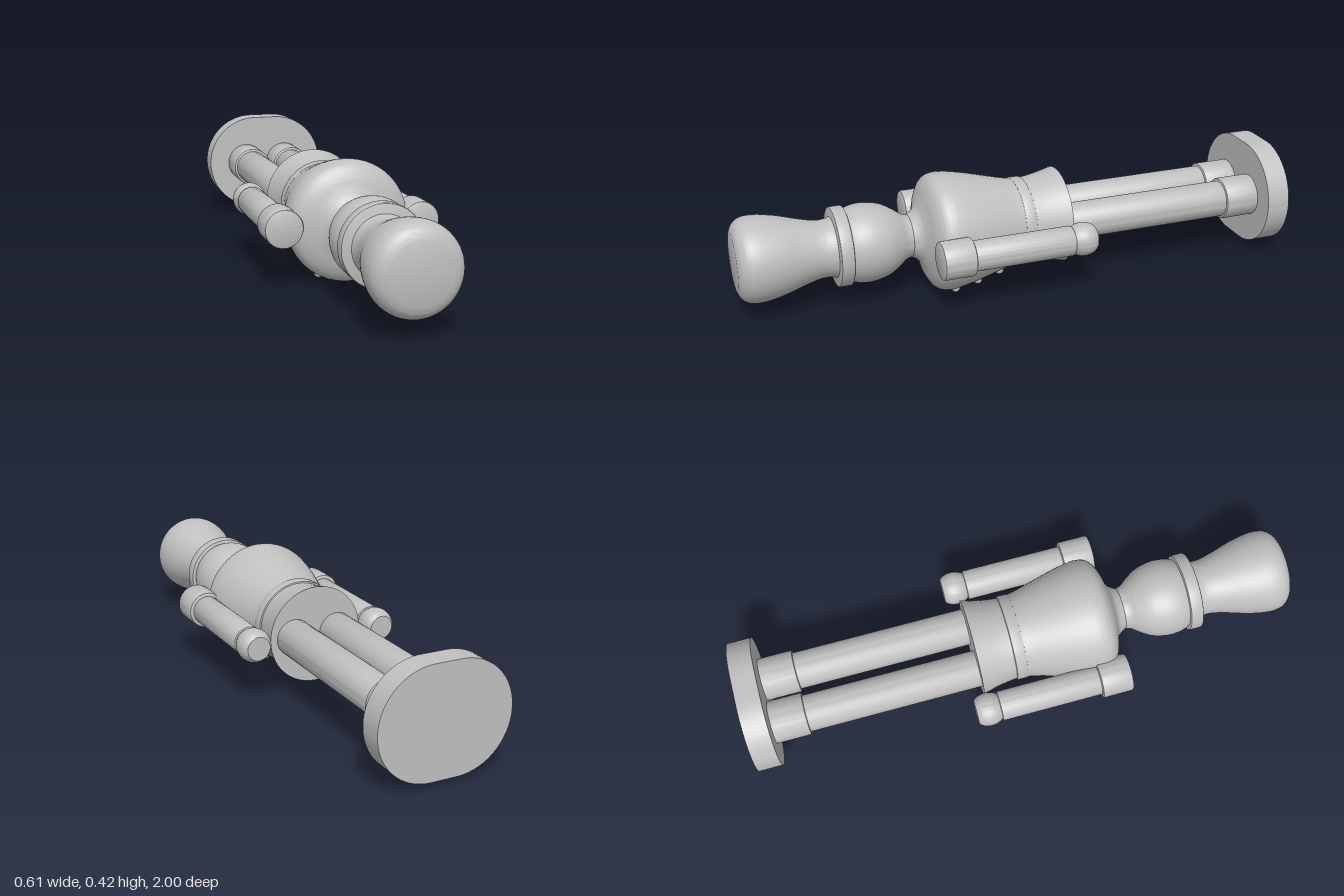
import * as THREE from 'three';
import { toCreasedNormals } from 'three/addons/utils/BufferGeometryUtils.js';

const AXIS = 0.211; // height of the lying figure's long axis

export function createModel() {
  const group = new THREE.Group();
  const grey = new THREE.MeshStandardMaterial({ color: 0xc0c0c0 });
  grey.name = 'plain grey';

  const add = (name, geometry, x = 0, y = AXIS, z = 0) => {
    const mesh = new THREE.Mesh(geometry, grey);
    mesh.name = name;
    mesh.position.set(x, y, z);
    group.add(mesh);
    return mesh;
  };

  // Turned part along z from [z, radius] pairs in rising z, capped at both ends
  const turned = (name, profile, x = 0, smooth = true) => {
    let pts = profile.map(([z, r]) => new THREE.Vector2(r, z));
    if (smooth) pts = new THREE.SplineCurve(pts).getPoints(profile.length * 5);
    pts.unshift(new THREE.Vector2(0, pts[0].y));
    pts.push(new THREE.Vector2(0, pts[pts.length - 1].y));
    const geo = new THREE.LatheGeometry(pts, 56).rotateX(Math.PI / 2);
    return add(name, toCreasedNormals(geo, 0.6), x);
  };

  // Cylinder with softly rounded rims
  const rod = (name, z0, z1, r, x = 0, b = 0.006) => turned(name, [
    [z0, r - b], [z0 + b * 0.3, r - b * 0.3], [z0 + b, r],
    [z1 - b, r], [z1 - b * 0.3, r - b * 0.3], [z1, r - b],
  ], x, false);

  // Hat, hat band and head
  turned('hat', [
    [0.64, 0.115], [0.67, 0.103], [0.71, 0.101], [0.77, 0.115], [0.84, 0.136],
    [0.9, 0.148], [0.94, 0.15], [0.97, 0.143], [0.99, 0.125], [1.0, 0.102],
  ]);
  rod('hatBand', 0.613, 0.66, 0.14);
  turned('head', [
    [0.385, 0.074], [0.41, 0.081], [0.44, 0.103], [0.48, 0.126],
    [0.53, 0.138], [0.57, 0.138], [0.6, 0.131], [0.63, 0.118],
  ]);

  // Coat, belt and coat skirt
  turned('coat', [
    [-0.04, 0.147], [0.02, 0.156], [0.09, 0.174], [0.17, 0.195], [0.24, 0.209],
    [0.28, 0.21], [0.31, 0.198], [0.332, 0.165], [0.346, 0.125], [0.362, 0.092], [0.39, 0.074],
  ]);
  rod('belt', -0.04, 0.003, 0.155);
  turned('coatSkirt', [[-0.168, 0.173], [-0.13, 0.164], [-0.08, 0.154], [-0.03, 0.148]]);

  for (const side of [-1, 1]) {
    const label = side > 0 ? 'left' : 'right';

    // Arm with shoulder cap and hand
    const ax = side * 0.239;
    rod(label + 'Shoulder', 0.234, 0.348, 0.067, ax, 0.008);
    rod(label + 'Arm', -0.13, 0.24, 0.053, ax, 0.005);
    turned(label + 'Hand', [
      [-0.215, 0.042], [-0.2, 0.053], [-0.175, 0.059], [-0.15, 0.056], [-0.125, 0.044],
    ], ax);

    // Leg and boot
    const lx = side * 0.082;
    rod(label + 'Leg', -0.85, -0.16, 0.066, lx, 0.002);
    rod(label + 'Boot', -0.92, -0.79, 0.076, lx, 0.005);

    // Column of buttons on the chest, which faces down
    for (const [z, r] of [[0.25, 0.206], [0.165, 0.19], [0.08, 0.168]]) {
      const a = side * 0.48;
      add(label + 'Button', new THREE.SphereGeometry(0.016, 16, 12),
        Math.sin(a) * r, AXIS - Math.cos(a) * r, z);
    }
  }

  // Rounded oblong foot base
  const shape = new THREE.Shape();
  shape.absarc(0.045, 0, 0.19, -Math.PI / 2, Math.PI / 2);
  shape.absarc(-0.045, 0, 0.19, Math.PI / 2, Math.PI * 1.5);
  shape.closePath();
  const base = new THREE.ExtrudeGeometry(shape, { depth: 0.085, bevelEnabled: false, curveSegments: 32 });
  add('base', toCreasedNormals(base, 0.6), 0, AXIS, -1);

  return group;
}
